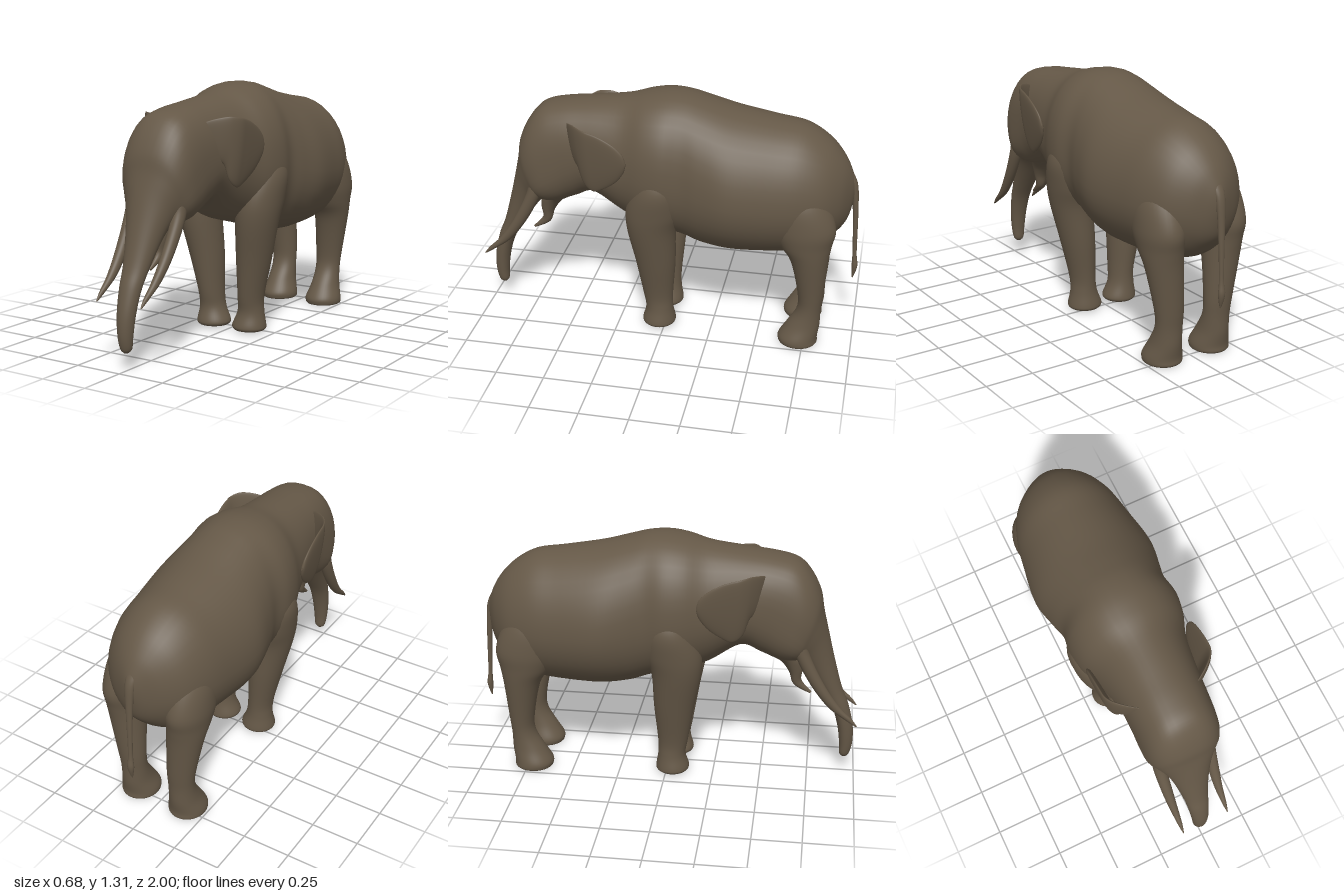
import * as THREE from 'three';

const SIDES = 40, STEPS = 5;

// Smoothly interpolates rows of numbers (Catmull-Rom on every column).
function refine(rows) {
  const out = [];
  const at = i => rows[Math.min(rows.length - 1, Math.max(0, i))];
  for (let i = 0; i < rows.length - 1; i++) {
    const [a, b, c, d] = [at(i - 1), at(i), at(i + 1), at(i + 2)];
    for (let k = 0; k < STEPS; k++) {
      const t = k / STEPS;
      out.push(b.map((p, j) => p + 0.5 * t * (c[j] - a[j]
        + t * (2 * a[j] - 5 * p + 4 * c[j] - d[j]
        + t * (3 * (p - c[j]) + d[j] - a[j])))));
    }
  }
  out.push(rows[rows.length - 1]);
  return out;
}

// Joins closed rings of points into a smooth, capped skin.
function loft(rings) {
  const pos = [], idx = [], n = SIDES;
  rings.forEach(r => r.forEach(p => pos.push(...p)));
  for (let i = 0; i < rings.length - 1; i++) {
    for (let j = 0; j < n; j++) {
      const a = i * n + j, b = i * n + (j + 1) % n;
      idx.push(a, b, a + n, b, b + n, a + n);
    }
  }
  for (const end of [0, rings.length - 1]) {
    const ring = rings[end], base = pos.length / 3;
    ring.forEach(p => pos.push(...p));
    pos.push(...[0, 1, 2].map(k => ring.reduce((s, p) => s + p[k], 0) / n));
    for (let j = 0; j < n; j++) {
      const a = base + j, b = base + (j + 1) % n;
      if (end) idx.push(a, b, base + n); else idx.push(b, a, base + n);
    }
  }
  // Turn the faces outward when the enclosed volume comes out negative.
  const v = i => new THREE.Vector3().fromArray(pos, 3 * i);
  let volume = 0;
  for (let i = 0; i < idx.length; i += 3) volume += v(idx[i]).dot(v(idx[i + 1]).cross(v(idx[i + 2])));
  if (volume < 0) idx.reverse();
  const g = new THREE.BufferGeometry();
  g.setAttribute('position', new THREE.Float32BufferAttribute(pos, 3));
  g.setIndex(idx);
  g.computeVertexNormals();
  return g;
}

const power = (v, n) => Math.sign(v) * Math.abs(v) ** (2 / n);
const angles = Array.from({ length: SIDES }, (_, j) => j / SIDES * Math.PI * 2);

// Rows: upper point z, y; lower point z, y; half width; then optionally
// the roundness exponent and where between the points it is widest.
function spine(rows, shift = () => 0) {
  const full = rows.map(([zT, yT, zB, yB, w, n = 2, mid = 0.45]) => [zT, yT, zB, yB, w, n, mid]);
  return loft(refine(full).map(([zT, yT, zB, yB, w, n, mid]) =>
    angles.map(a => {
      const c = power(Math.cos(a), n);
      const f = c > 0 ? mid + c * (1 - mid) : mid + c * mid;
      const y = yB + f * (yT - yB), z = zB + f * (zT - zB);
      return [w * power(Math.sin(a), n) + shift(y, z), y, z];
    })));
}

// Rows: height, centre x, centre z, half width, half depth.
function limb(rows, side = 1) {
  return loft(refine(rows).map(([y, x, z, rx, rz]) =>
    angles.map(a => [side * x + rx * Math.sin(a), y, z + rz * Math.cos(a)])));
}

export function createModel() {
  const hide = new THREE.MeshStandardMaterial({ color: 0x655847 });
  hide.name = 'brownHide';
  const model = new THREE.Group();
  model.name = 'elephant';
  const add = (name, geometry) => {
    const mesh = new THREE.Mesh(geometry, hide);
    mesh.name = name;
    model.add(mesh);
  };

  // Body, head and trunk as one continuous skin, from rump to trunk tip
  add('bodyHeadAndTrunk', spine([
    [-0.962, 0.86, -0.955, 0.78, 0.015],
    [-0.945, 0.93, -0.93, 0.68, 0.07],
    [-0.90, 1.02, -0.88, 0.61, 0.155],
    [-0.82, 1.11, -0.80, 0.54, 0.235],
    [-0.70, 1.18, -0.68, 0.50, 0.285],
    [-0.55, 1.205, -0.55, 0.485, 0.312],
    [-0.35, 1.24, -0.35, 0.48, 0.34],
    [-0.20, 1.28, -0.20, 0.50, 0.314, 2.1],
    [-0.10, 1.305, -0.10, 0.535, 0.292, 2.2],
    [0.0, 1.31, 0.0, 0.565, 0.306, 2.2],
    [0.10, 1.295, 0.10, 0.59, 0.292, 2.2],
    [0.22, 1.265, 0.22, 0.63, 0.248, 2.1],
    [0.40, 1.24, 0.38, 0.73, 0.215, 2.2],
    [0.55, 1.22, 0.48, 0.70, 0.205, 2.4],
    [0.66, 1.19, 0.56, 0.67, 0.202, 2.5, 0.4],
    [0.73, 1.12, 0.62, 0.66, 0.197, 2.5, 0.38],
    [0.78, 1.02, 0.65, 0.66, 0.182, 2.4, 0.38],
    [0.80, 0.92, 0.67, 0.66, 0.158, 2.3, 0.4],
    [0.83, 0.80, 0.69, 0.64, 0.126],
    [0.865, 0.66, 0.74, 0.58, 0.095],
    [0.91, 0.50, 0.82, 0.46, 0.068],
    [0.95, 0.40, 0.87, 0.37, 0.057],
    [0.98, 0.28, 0.90, 0.27, 0.048],
    [0.985, 0.18, 0.915, 0.17, 0.039],
    [0.972, 0.11, 0.918, 0.11, 0.03],
    [0.955, 0.088, 0.93, 0.09, 0.012],
  ]));

  // Lower jaw with its pointed, drooping lip
  add('lowerJaw', spine([
    [0.50, 0.85, 0.42, 0.74, 0.12],
    [0.63, 0.72, 0.52, 0.68, 0.10],
    [0.695, 0.66, 0.585, 0.635, 0.065],
    [0.705, 0.59, 0.632, 0.57, 0.04],
    [0.70, 0.52, 0.66, 0.495, 0.022],
    [0.755, 0.457, 0.745, 0.447, 0.006],
  ]));

  // Tail with a tuft
  add('tail', limb([
    [0.93, 0, -0.925, 0.03, 0.02],
    [0.86, 0, -0.955, 0.025, 0.018],
    [0.70, 0, -0.97, 0.017, 0.014],
    [0.48, 0, -0.98, 0.012, 0.011],
    [0.40, 0, -0.985, 0.018, 0.015],
    [0.33, 0, -0.978, 0.003, 0.003],
  ]));

  for (const [prefix, s] of [['left', 1], ['right', -1]]) {
    add(prefix + 'FrontLeg', limb([
      [1.02, 0.17, 0.02, 0.05, 0.06],
      [0.93, 0.185, 0.02, 0.10, 0.10],
      [0.84, 0.195, 0.025, 0.12, 0.13],
      [0.72, 0.187, 0.045, 0.118, 0.145],
      [0.60, 0.175, 0.06, 0.108, 0.128],
      [0.40, 0.148, 0.045, 0.09, 0.105],
      [0.20, 0.125, 0.037, 0.068, 0.08],
      [0.11, 0.12, 0.03, 0.07, 0.073],
      [0.04, 0.112, 0.033, 0.09, 0.087],
      [0.02, 0.112, 0.033, 0.09, 0.087],
      [0.01, 0.112, 0.033, 0.08, 0.078],
    ], s));

    add(prefix + 'HindLeg', limb([
      [0.98, 0.15, -0.67, 0.05, 0.07],
      [0.84, 0.168, -0.69, 0.105, 0.145],
      [0.70, 0.18, -0.72, 0.11, 0.165],
      [0.60, 0.178, -0.735, 0.102, 0.135],
      [0.50, 0.17, -0.76, 0.093, 0.096],
      [0.30, 0.15, -0.775, 0.076, 0.067],
      [0.20, 0.145, -0.77, 0.07, 0.063],
      [0.11, 0.145, -0.745, 0.078, 0.086],
      [0.04, 0.145, -0.72, 0.098, 0.102],
      [0.01, 0.145, -0.72, 0.099, 0.103],
      [0, 0.145, -0.72, 0.092, 0.097],
    ], s));

    add(prefix + 'Tusk', limb([
      [0.88, 0.13, 0.66, 0.02, 0.02],
      [0.80, 0.137, 0.69, 0.03, 0.032],
      [0.73, 0.138, 0.70, 0.034, 0.037],
      [0.63, 0.137, 0.745, 0.031, 0.037],
      [0.52, 0.134, 0.81, 0.027, 0.034],
      [0.43, 0.131, 0.88, 0.02, 0.03],
      [0.37, 0.13, 0.95, 0.012, 0.02],
      [0.33, 0.13, 0.995, 0.003, 0.005],
    ], s));

    // Ear: a thin leaf, leaning outward at the top and curving into the head
    add(prefix + 'Ear', spine([
      [0.17, 1.01, 0.17, 0.99, 0.005],
      [0.185, 1.055, 0.185, 0.945, 0.012],
      [0.23, 1.10, 0.23, 0.885, 0.016],
      [0.30, 1.14, 0.30, 0.835, 0.018],
      [0.36, 1.16, 0.35, 0.817, 0.018],
      [0.41, 1.17, 0.40, 0.855, 0.019],
      [0.44, 1.172, 0.43, 0.935, 0.02],
      [0.48, 1.16, 0.46, 0.965, 0.02],
      [0.51, 1.14, 0.49, 1.0, 0.015],
    ], (y, z) => s * (0.228 + 0.15 * (y - 0.82) + 0.08 * (0.45 - z)
      - 6 * Math.max(0, z - 0.36) ** 2)));
  }
  return model;
}
